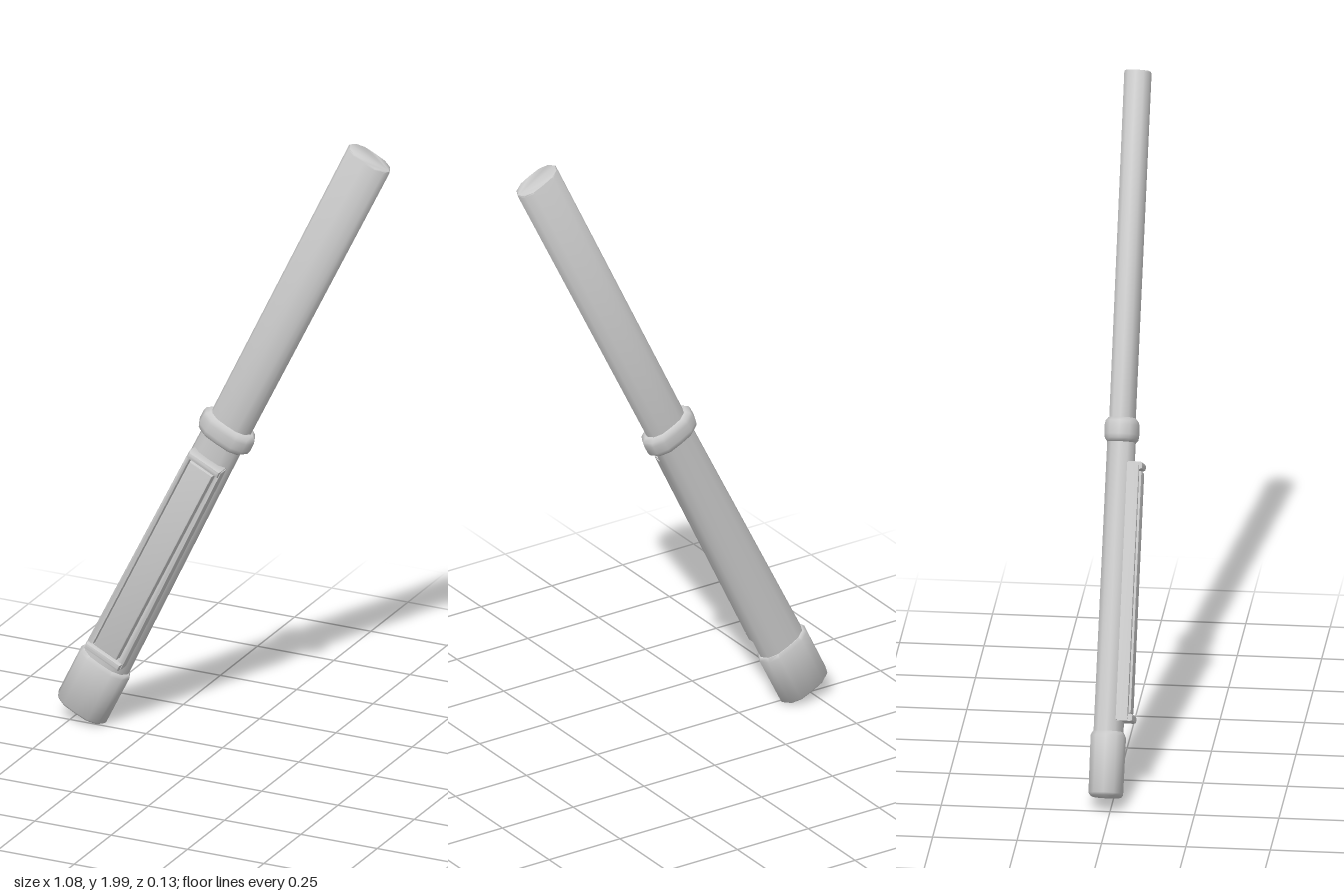
import * as THREE from 'three';
import { toCreasedNormals } from 'three/addons/utils/BufferGeometryUtils.js';

const MATERIAL = new THREE.MeshStandardMaterial({ color: 0xcccccc });
const DEPTH_CENTRE = -0.016;

// Flattened twelve-sided cross-section, unit half-width and half-depth
const QUARTER = [[1, 0], [0.85, 0.6], [0.5, 0.95]];
const SECTION = [
  ...QUARTER, [0, 1], [-0.5, 0.95], [-0.85, 0.6],
  [-1, 0], [-0.85, -0.6], [-0.5, -0.95], [0, -1], [0.5, -0.95], [0.85, -0.6],
];

// Closed tube through rows of [height, halfWidth, halfDepth]
function loft(rows) {
  const n = SECTION.length;
  const positions = [];
  const index = [];
  for (const [y, w, d] of rows) {
    for (const [x, z] of SECTION) positions.push(x * w, y, z * d + DEPTH_CENTRE);
  }
  for (let r = 0; r < rows.length - 1; r++) {
    for (let i = 0; i < n; i++) {
      const a = r * n + i, b = r * n + (i + 1) % n;
      index.push(a, a + n, b, b, a + n, b + n);
    }
  }
  const last = (rows.length - 1) * n;
  for (let i = 1; i < n - 1; i++) {
    index.push(0, i, i + 1);
    index.push(last, last + i + 1, last + i);
  }
  const geometry = new THREE.BufferGeometry();
  geometry.setAttribute('position', new THREE.Float32BufferAttribute(positions, 3));
  geometry.setIndex(index);
  return toCreasedNormals(geometry, 1.1);
}

// Four-cornered outline, slightly narrower at the top
function outline(bottom, top, halfBottom, halfTop, Type = THREE.Shape) {
  const shape = new Type();
  shape.moveTo(-halfBottom, bottom);
  shape.lineTo(halfBottom, bottom);
  shape.lineTo(halfTop, top);
  shape.lineTo(-halfTop, top);
  shape.closePath();
  return shape;
}

// Bevelled plate whose front face reaches the given z
function plate(shape, front, bevel) {
  const geometry = new THREE.ExtrudeGeometry(shape, {
    depth: front - bevel, bevelEnabled: true, bevelThickness: bevel,
    bevelSize: bevel, bevelOffset: -bevel, bevelSegments: 2,
  });
  return toCreasedNormals(geometry, 0.6);
}

export function createModel() {
  const model = new THREE.Group();
  model.name = 'slantedStick';
  const stick = new THREE.Group();
  stick.name = 'stick';
  model.add(stick);

  const add = (name, geometry) => {
    const mesh = new THREE.Mesh(geometry, MATERIAL);
    mesh.name = name;
    stick.add(mesh);
    return mesh;
  };

  // Pommel cap, lower grip, collar and upper shaft
  add('endCap', loft([
    [0, 0.080, 0.044], [0.008, 0.086, 0.050], [0.178, 0.087, 0.051], [0.190, 0.080, 0.045],
  ]));
  add('grip', loft([[0.17, 0.078, 0.043], [1.07, 0.069, 0.041]]));
  add('collar', loft([
    [1.046, 0.076, 0.040], [1.056, 0.088, 0.048], [1.068, 0.091, 0.050],
    [1.096, 0.091, 0.050], [1.108, 0.088, 0.048], [1.118, 0.076, 0.040],
  ]));
  add('shaft', loft([[1.08, 0.069, 0.038], [2.14, 0.074, 0.039], [2.144, 0.072, 0.037]]));

  // Frame around the front inlay
  const frame = outline(0.225, 0.985, 0.066, 0.059);
  frame.holes.push(outline(0.243, 0.966, 0.045, 0.045, THREE.Path));
  add('inlayFrame', plate(frame, 0.045, 0.005));
  add('inlayPanel', plate(outline(0.247, 0.962, 0.041, 0.041), 0.052, 0.005));

  // Raised lips at both ends of the frame
  for (const [name, y, half, front] of [
    ['lowerLip', 0.222, 0.062, 0.060], ['upperLip', 0.967, 0.056, 0.055],
  ]) {
    add(name, plate(outline(y, y + 0.022, half, half), front, 0.008));
  }

  stick.rotation.z = -0.4565;
  stick.position.set(-0.47, 0.04, 0);
  return model;
}
